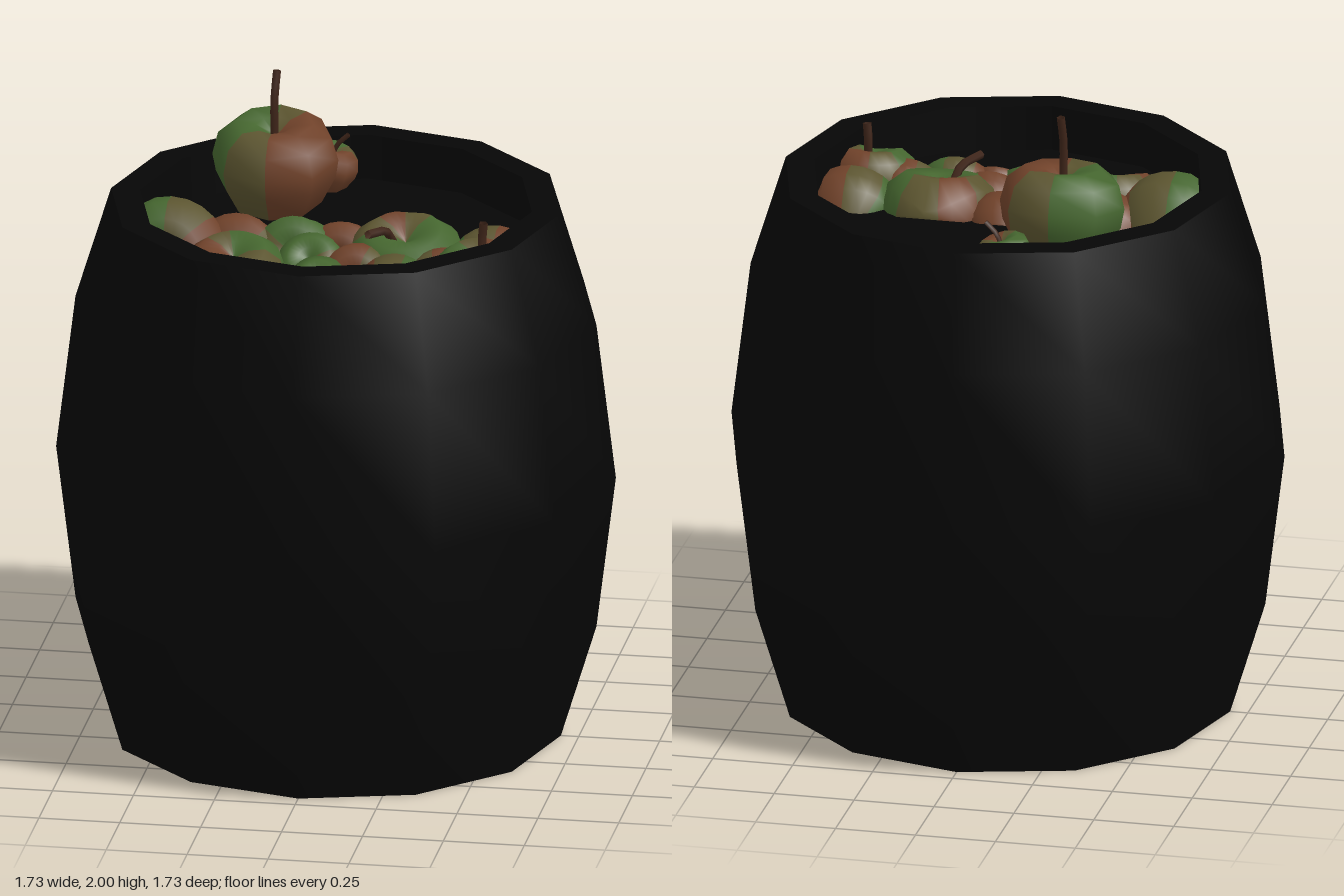
import * as THREE from 'three';

const BLACK = 0x060606, GREEN = 0x45662f, RED = 0x70422a, BLEND = 0x5c5530, STEM = 0x40261a;
const LID = 1.55;
const vec2 = (pts) => pts.map(([x, y]) => new THREE.Vector2(x, y));

function mesh(name, geometry, color, side = THREE.FrontSide) {
  const m = new THREE.Mesh(geometry, new THREE.MeshStandardMaterial({ color, side }));
  m.name = name;
  return m;
}

// Apple half-section with a hollow at the top, for a radius of 1
const section = vec2([[0, -0.68], [0.35, -0.8], [0.72, -0.55], [0.95, -0.1], [1, 0.2],
  [0.9, 0.58], [0.62, 0.8], [0.3, 0.75], [0.08, 0.6], [0, 0.55]]);

// Opening between the lid boards: apples in the pile are trimmed to it and sink towards its long edges
function trim(geometry) {
  const p = geometry.attributes.position;
  for (let i = 0; i < p.count; i++) {
    const z = THREE.MathUtils.clamp(p.getZ(i), -0.07, 0.35);
    const limit = Math.min(0.6 - 0.268 * Math.abs(z), 0.82 - Math.abs(z));
    const edge = Math.min(z + 0.07, 0.35 - z);
    const sink = Math.min(1, 0.25 + Math.sqrt(edge / 0.07) * 0.75);
    const y = LID + Math.max(p.getY(i) - LID, -0.02) * sink;
    p.setXYZ(i, THREE.MathUtils.clamp(p.getX(i), -limit, limit), y, z);
  }
}

// An apple in four sectors: blush, green, and a blend on either side
function apple(name, pos, r, rot, segments, blush, inPile) {
  const g = new THREE.Group();
  g.name = name;
  const matrix = new THREE.Matrix4().compose(
    new THREE.Vector3(...pos),
    new THREE.Quaternion().setFromEuler(new THREE.Euler(...rot)),
    new THREE.Vector3(r, r, r));
  const step = (Math.PI * 2) / segments;
  const blend = Math.round(segments / 8);
  const red = Math.round((segments - 2 * blend) * blush);
  let start = 0;
  for (const [part, count, color] of [['redSide', red, RED], ['blendA', blend, BLEND],
    ['greenSide', segments - red - 2 * blend, GREEN], ['blendB', blend, BLEND]]) {
    const geo = new THREE.LatheGeometry(section, count, start * step, count * step);
    geo.applyMatrix4(matrix);
    if (inPile) trim(geo);
    g.add(mesh(part, geo, color));
    start += count;
  }
  return g;
}

function stem(points, r) {
  const curve = new THREE.CatmullRomCurve3(points.map((p) => new THREE.Vector3(...p)));
  return mesh('stem', new THREE.TubeGeometry(curve, 5, r, 5), STEM, THREE.DoubleSide);
}

export function createModel() {
  const model = new THREE.Group();

  // Barrel: each run of the profile is smooth, with hard edges between runs
  const barrel = new THREE.Group();
  barrel.name = 'barrel';
  const runs = {
    base: [[0, 0], [0.695, 0]],
    staves: [[0.695, 0], [0.805, 0.36], [0.865, 0.845], [0.805, 1.335], [0.695, 1.69]],
    rim: [[0.695, 1.69], [0.605, 1.69]],
    innerWall: [[0.605, 1.69], [0.6, LID]],
    lid: [[0.6, LID], [0, LID]],
  };
  for (const [name, pts] of Object.entries(runs))
    barrel.add(mesh(name, new THREE.LatheGeometry(vec2(pts), 12), BLACK));
  model.add(barrel);

  // Pile of apples: x, z, radius, top height, tilt, share of red, turn
  const pile = new THREE.Group();
  pile.name = 'applePile';
  [
    [-0.5, 0.08, 0.19, 1.685, 1.2, 0.5, 0],
    [-0.3, 0.02, 0.14, 1.63, 1.3, 0.75, 2.4],
    [-0.12, 0.01, 0.135, 1.63, 1.1, 0.25, 4.8],
    [0.02, -0.01, 0.115, 1.62, 1.3, 0.75, 0.9],
    [0.23, 0.06, 0.18, 1.65, 0.25, 0.15, 3.3],
    [0.5, 0.04, 0.15, 1.64, 1.2, 0.75, 5.7],
    [-0.45, 0.32, 0.15, 1.61, 1.2, 0.25, 1.8],
    [-0.27, 0.26, 0.16, 1.63, 0.2, 0.6, 4.2],
    [-0.05, 0.15, 0.11, 1.62, 0.7, 0.15, 0.4],
    [0.1, 0.18, 0.12, 1.61, 1.1, 0.25, 2.8],
    [0.0, 0.33, 0.1, 1.6, 0.4, 0.5, 5.2],
    [0.11, 0.32, 0.09, 1.6, 1.2, 0.6, 1.3],
    [0.23, 0.28, 0.125, 1.62, 1.2, 0.2, 3.7],
    [0.37, 0.2, 0.12, 1.62, 1.2, 0.8, 6.1],
    [0.48, 0.24, 0.14, 1.65, 0.15, 0.2, 2.2],
  ].forEach(([x, z, r, top, tilt, blush, turn]) => {
    const y = top - r * (tilt > 0.5 ? 0.97 : 0.82);
    pile.add(apple('pileApple', [x, y, z], r, [tilt, turn, 0], 24, blush, true));
  });
  pile.add(stem([[0.2, 1.59, 0.1], [0.18, 1.65, 0.14], [0.135, 1.665, 0.22]], 0.014));
  pile.add(stem([[0.49, 1.61, 0.23], [0.49, 1.68, 0.23], [0.495, 1.73, 0.235]], 0.014));
  model.add(pile);

  // Two loose apples resting on the lid
  const large = apple('largeApple', [-0.235, 1.68, -0.288], 0.195, [0.13, 0, 0], 8, 0.5, false);
  large.add(stem([[-0.235, 1.79, -0.265], [-0.235, 1.91, -0.262], [-0.23, 2, -0.28]], 0.013));
  const small = apple('smallApple', [-0.11, 1.61, -0.505], 0.092, [0, 0, -0.25], 8, 0.4, false);
  small.add(stem([[-0.1, 1.64, -0.505], [-0.08, 1.69, -0.503], [-0.045, 1.725, -0.5]], 0.008));
  model.add(large, small);

  return model;
}
